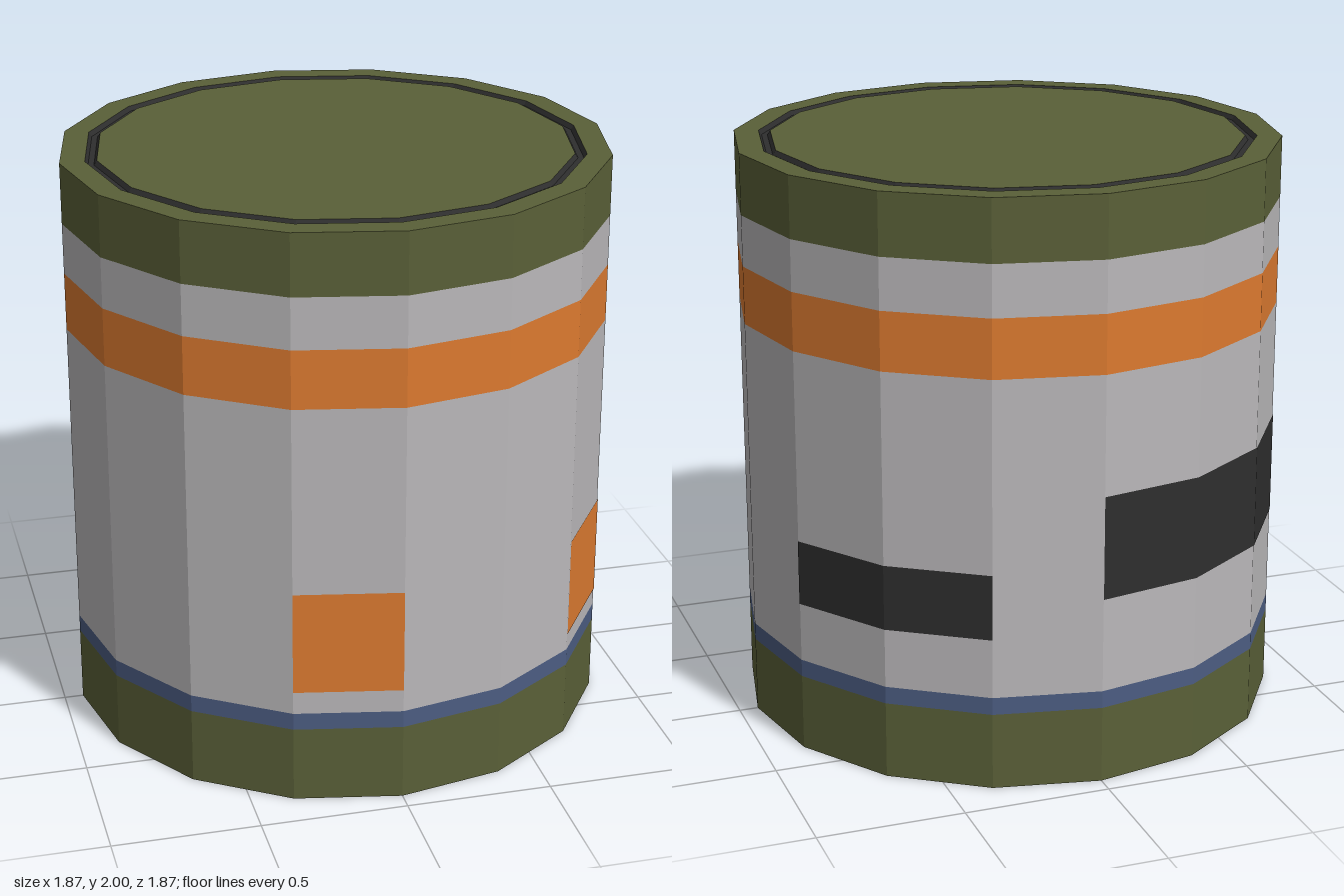
import * as THREE from 'three';

const SIDES = 16, R = 0.935, STEP = (Math.PI * 2) / SIDES;

function paint(name, color) {
  const m = new THREE.MeshStandardMaterial({ color, flatShading: true });
  m.name = name;
  return m;
}

export function createModel() {
  const olive = paint('olive', 0x5a6038);
  const grey = paint('light grey', 0xbab8ba);
  const orange = paint('orange', 0xdc7a30);
  const blue = paint('slate blue', 0x4c5d82);
  const black = paint('charcoal', 0x2e2e2e);

  const model = new THREE.Group();
  model.name = 'canister';

  function add(name, geometry, material) {
    const mesh = new THREE.Mesh(geometry, material);
    mesh.name = name;
    model.add(mesh);
    return mesh;
  }

  // Sixteen-sided turned part; profile runs bottom to top along the outside
  function turned(name, profile, material) {
    const points = profile.map(([r, y]) => new THREE.Vector2(r, y));
    return add(name, new THREE.LatheGeometry(points, SIDES), material);
  }

  // Base with a bevelled recess underneath
  turned('base', [[0, 0.09], [0.73, 0.09], [0.81, 0], [R, 0], [R, 0.265]], olive);

  // Wall bands
  turned('blueStripe', [[R, 0.265], [R, 0.325]], blue);
  turned('lowerWall', [[R, 0.325], [R, 1.415]], grey);
  turned('orangeStripe', [[R, 1.415], [R, 1.615]], orange);
  turned('upperWall', [[R, 1.615], [R, 1.79]], grey);

  // Top rim, dark groove and lid
  turned('topRim', [[R, 1.79], [R, 2], [0.85, 2]], olive);
  turned('lidGroove', [[0.85, 2], [0.84, 1.985], [0.82, 1.985], [0.81, 2]], black);
  turned('lid', [[0.81, 2], [0, 2]], olive);

  // Labels cover whole facets: first facet (counted from +z towards +x), facet count, bottom, top
  function label(name, first, count, y0, y1, material) {
    const r = R + 0.002;
    const g = new THREE.CylinderGeometry(r, r, y1 - y0, count, 1, true, first * STEP, count * STEP);
    add(name, g, material).position.y = (y0 + y1) / 2;
  }
  label('frontLabel', -1, 1, 0.405, 0.765, orange);
  label('sideLabel', 2, 1, 0.385, 0.738, orange);
  label('narrowBackLabel', 5, 2, 0.53, 0.755, black);
  label('wideBackLabel', 8, 3, 0.65, 1.005, black);

  return model;
}
